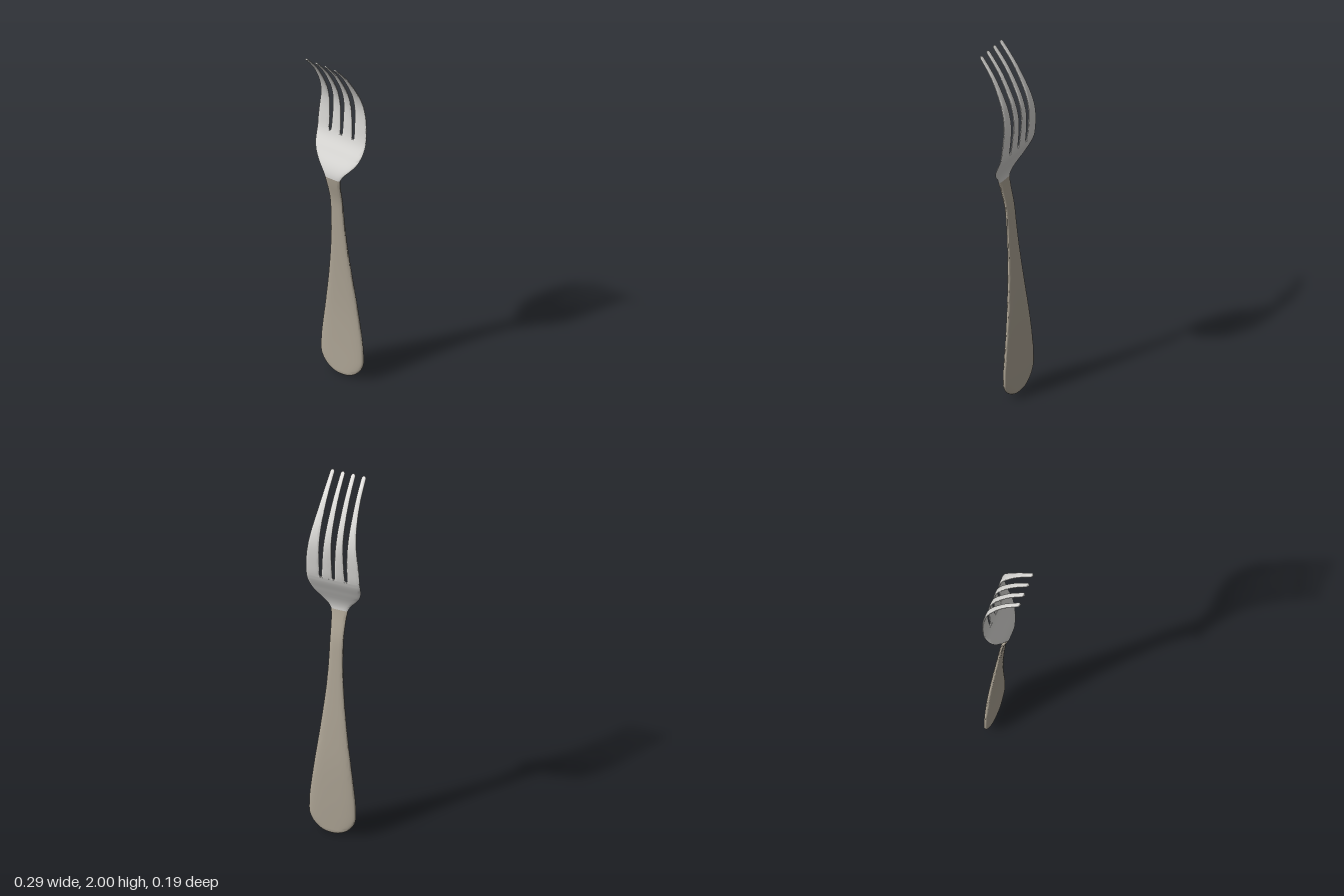
import * as THREE from 'three';
import { toCreasedNormals } from 'three/addons/utils/BufferGeometryUtils.js';

// Smooth interpolation through [y, value] pairs
function curve(pts) {
  const slope = (i) => {
    const a = pts[Math.max(i - 1, 0)], b = pts[Math.min(i + 1, pts.length - 1)];
    return (b[1] - a[1]) / (b[0] - a[0]);
  };
  return (y) => {
    let i = 0;
    while (i < pts.length - 2 && y > pts[i + 1][0]) i++;
    const [y0, v0] = pts[i], [y1, v1] = pts[i + 1], h = y1 - y0;
    const t = THREE.MathUtils.clamp((y - y0) / h, 0, 1), t2 = t * t, t3 = t2 * t;
    return v0 * (2 * t3 - 3 * t2 + 1) + v1 * (3 * t2 - 2 * t3)
      + h * (slope(i) * (t3 - 2 * t2 + t) + slope(i + 1) * (t3 - t2));
  };
}

// Side bend and thickness shared by the whole fork
const bend = curve([[0, -0.08], [0.2, -0.081], [0.4, -0.078], [0.6, -0.068], [0.8, -0.054],
  [1, -0.038], [1.1, -0.028], [1.18, -0.01], [1.25, 0.005], [1.3, -0.003], [1.38, -0.038],
  [1.46, -0.072], [1.55, -0.084], [1.64, -0.087], [1.7, -0.079], [1.77, -0.056],
  [1.88, 0.002], [1.94, 0.045], [2, 0.095]]);
const thickness = curve([[0, 0.03], [0.4, 0.027], [0.8, 0.021], [1.1, 0.017], [1.25, 0.014],
  [1.4, 0.01], [1.7, 0.009], [2, 0.007]]);

// Half widths of the handle and of the lower head
const handleWidth = curve([[0, 0.126], [0.15, 0.125], [0.22, 0.121], [0.4, 0.098], [0.6, 0.071],
  [0.8, 0.049], [0.95, 0.039], [1.1, 0.036], [1.2, 0.039], [1.25, 0.045]]);
const headWidth = curve([[1.25, 0.045], [1.28, 0.061], [1.32, 0.094], [1.36, 0.122],
  [1.4, 0.137], [1.44, 0.143], [1.47, 0.144]]);

// Quarter-circle rounding: 0 at the end, 1 from distance r onward
const roundEnd = (d, r) => (d >= r ? 1 : Math.sqrt(Math.max(0.001, 1 - (1 - d / r) ** 2)));

// Lofted strip with a rounded flat section, following the bend
function loft(rows, left, right, thick, power, crease) {
  const N = 28, pos = [], idx = [];
  const sgnPow = (v) => Math.sign(v) * Math.abs(v) ** power;
  for (const y of rows) {
    const d = (bend(Math.min(y + 0.005, 2)) - bend(Math.max(y - 0.005, 0)))
      / (Math.min(y + 0.005, 2) - Math.max(y - 0.005, 0));
    const len = Math.hypot(1, d), mid = (left(y) + right(y)) / 2, half = (right(y) - left(y)) / 2;
    for (let j = 0; j < N; j++) {
      const a = (j / N) * Math.PI * 2, n = sgnPow(Math.sin(a)) * thick(y) / 2;
      pos.push(mid + half * sgnPow(Math.cos(a)), y - n * d / len, bend(y) + n / len);
    }
  }
  const last = rows.length - 1;
  for (let i = 0; i < last; i++) {
    for (let j = 0; j < N; j++) {
      const a = i * N + j, b = i * N + (j + 1) % N;
      idx.push(a, a + N, b, b, a + N, b + N);
    }
  }
  // End caps
  for (const i of [0, last]) {
    const c = pos.length / 3, y = rows[i];
    pos.push((left(y) + right(y)) / 2, y, bend(y));
    for (let j = 0; j < N; j++) {
      const a = i * N + j, b = i * N + (j + 1) % N;
      if (i === 0) idx.push(c, a, b);
      else idx.push(c, b, a);
    }
  }
  const g = new THREE.BufferGeometry();
  g.setAttribute('position', new THREE.Float32BufferAttribute(pos, 3));
  g.setIndex(idx);
  return toCreasedNormals(g, crease);
}

const rowsOf = (n, f) => Array.from({ length: n + 1 }, (_, i) => f(i / n));

export function createModel() {
  const fork = new THREE.Group();
  fork.name = 'fork';
  const handleMat = new THREE.MeshStandardMaterial({ color: 0xb2a999 });
  handleMat.name = 'warm grey handle';
  const steelMat = new THREE.MeshStandardMaterial({ color: 0xdcdbd8 });
  steelMat.name = 'pale steel';
  const add = (name, geometry, material) => {
    const mesh = new THREE.Mesh(geometry, material);
    mesh.name = name;
    fork.add(mesh);
  };

  // Handle, with rows packed toward its rounded foot
  const hw = (y) => handleWidth(y) * roundEnd(y, 0.12);
  add('handle', loft(rowsOf(56, (t) => 1.25 * (1 - Math.cos(t * Math.PI / 2))),
    (y) => -hw(y), hw, (y) => thickness(y) * roundEnd(y + 0.002, 0.02), 0.6, 0.9), handleMat);

  // Lower head
  add('head', loft(rowsOf(24, (t) => 1.25 + 0.22 * t),
    (y) => -headWidth(y), headWidth, thickness, 0.6, 0.9), steelMat);

  // Tines, bounded by the outer edges and three tapering slots
  const slotHalf = curve([[1.47, 0.0055], [1.6, 0.009], [1.7, 0.0125], [1.85, 0.015], [2, 0.0165]]);
  const slots = [[-0.07, -0.0665], [-0.003, -0.01], [0.067, 0.045]].map(([base, tip]) => {
    const mid = (y) => base + (tip - base) * (y - 1.47) / 0.53;
    const half = (y) => slotHalf(y) * roundEnd(y - 1.47, 0.012);
    return { low: (y) => mid(y) - half(y), high: (y) => mid(y) + half(y) };
  });
  const outerRight = curve([[1.47, -0.144], [1.53, -0.144], [1.6, -0.139], [1.7, -0.126],
    [1.8, -0.115], [1.9, -0.109], [2, -0.107]]);
  const outerLeft = curve([[1.47, 0.144], [1.53, 0.143], [1.6, 0.138], [1.7, 0.124],
    [1.8, 0.107], [1.9, 0.093], [2, 0.084]]);
  const lows = [outerRight, ...slots.map((s) => s.high)];
  const highs = [...slots.map((s) => s.low), outerLeft];
  const tineRows = rowsOf(44, (t) => 1.47 + 0.53 * (1 - Math.cos(t * Math.PI)) / 2);
  for (let i = 0; i < 4; i++) {
    const mid = (y) => (lows[i](y) + highs[i](y)) / 2;
    const half = (y) => (highs[i](y) - lows[i](y)) / 2 * roundEnd(2 - y, 0.011);
    add('tine' + (i + 1), loft(tineRows, (y) => mid(y) - half(y), (y) => mid(y) + half(y),
      thickness, 0.6, 0.9), steelMat);
  }
  return fork;
}
